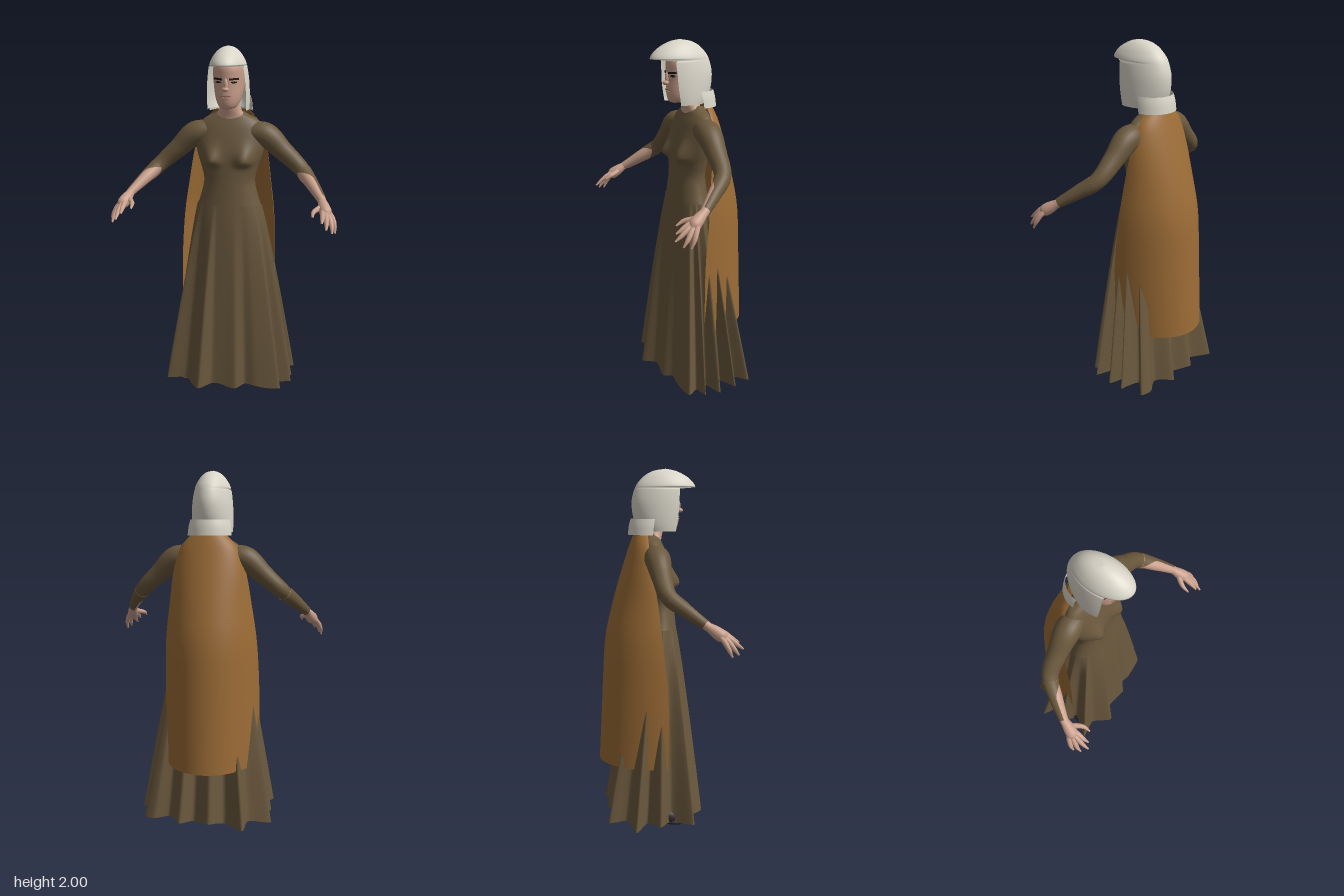
import * as THREE from 'three';
import { mergeVertices } from 'three/addons/utils/BufferGeometryUtils.js';

const V = (x, y, z) => new THREE.Vector3(x, y, z);
const material = (name, color, side = THREE.FrontSide) => {
  const m = new THREE.MeshStandardMaterial({ color, side });
  m.name = name;
  return m;
};

// Smooth surface through rows of points
function grid(rows) {
  const pos = [], index = [], n = rows[0].length;
  rows.forEach(r => r.forEach(p => pos.push(p.x, p.y, p.z)));
  for (let i = 0; i < rows.length - 1; i++) {
    for (let j = 0; j < n - 1; j++) {
      const a = i * n + j, d = a + n;
      index.push(a, a + 1, d + 1, a, d + 1, d);
    }
  }
  let g = new THREE.BufferGeometry();
  g.setAttribute('position', new THREE.Float32BufferAttribute(pos, 3));
  g.setIndex(index);
  g = mergeVertices(g, 1e-5);
  g.computeVertexNormals();
  return g;
}

// Interpolates one number along a list
const along = (list, t) =>
  new THREE.SplineCurve(list.map((v, i) => new THREE.Vector2(i, v))).getPoint(t).y;

// Loft of oval rings [y, halfWidth, zFront, zBack], bottom to top.
// gap(y) is the half angle left open at the front
function loft(rings, { steps = 24, n = 40, gap = () => 0, shape = p => p } = {}) {
  const rows = [];
  for (let i = 0; i <= steps; i++) {
    const [y, rx, zf, zb] = [0, 1, 2, 3].map(k => along(rings.map(r => r[k]), i / steps));
    const row = [], g = gap(y);
    for (let j = 0; j <= n; j++) {
      const a = g + 2 * (Math.PI - g) * j / n;
      row.push(shape(V(rx * Math.sin(a), y, (zf + zb) / 2 + (zf - zb) / 2 * Math.cos(a))));
    }
    rows.push(row);
  }
  return grid(rows);
}

// Round sweep along a curve; arc(t) is the half angle kept around the back side
function sweep(points, radii, { steps = 12, n = 12, t0 = 0, t1 = 1, grow = 0, arc = () => Math.PI } = {}) {
  const curve = new THREE.CatmullRomCurve3(points.map(p => V(...p)));
  const rows = [];
  for (let i = 0; i <= steps; i++) {
    const t = t0 + (t1 - t0) * i / steps;
    const c = curve.getPoint(t), T = curve.getTangent(t);
    const r = Math.max(along(radii, t), 0.001) + grow, w = arc((t - t0) / (t1 - t0));
    const u = T.clone().cross(V(0, 1, 0)).normalize(), v = u.clone().cross(T);
    const row = [];
    for (let j = 0; j <= n; j++) {
      const a = Math.PI - w + 2 * w * j / n;
      row.push(c.clone().addScaledVector(u, r * Math.cos(a)).addScaledVector(v, -r * Math.sin(a)));
    }
    rows.push(row);
  }
  return grid(rows);
}

const ball = (x, y, z, sx, sy, sz, ry = 0) =>
  new THREE.SphereGeometry(1, 20, 14).scale(sx, sy, sz).rotateY(ry).translate(x, y, z);

function mirrored(geometry) {
  const g = geometry.clone().scale(-1, 1, 1), ix = g.index;
  for (let i = 0; i < ix.count; i += 3) {
    const a = ix.getX(i);
    ix.setX(i, ix.getX(i + 1));
    ix.setX(i + 1, a);
  }
  return g;
}

export function createModel() {
  const model = new THREE.Group();
  const dress = material('dress brown', 0x6a583d, THREE.DoubleSide);
  const cloak = material('cape ochre', 0x9c6c36, THREE.DoubleSide);
  const hair = material('pale hair', 0xd9d5c8, THREE.DoubleSide);
  const skin = material('skin', 0xc99f8b);
  const dark = material('eye dark', 0x1c1717);
  const lip = material('lips', 0x8f6455);
  const leather = material('shoe leather', 0x30242a);

  const add = (name, g, m) => {
    const mesh = new THREE.Mesh(g, m);
    mesh.name = name;
    model.add(mesh);
  };
  const pair = (name, g, m) => {
    add('left' + name, g, m);
    add('right' + name, mirrored(g), m);
  };

  // Skirt: oval waist blending into a pleated hem outline
  const hem = new THREE.CatmullRomCurve3([
    [0, .18], [.07, .19], [.12, .15], [.19, .16], [.33, .145], [.31, .09], [.39, .07],
    [.29, .02], [.385, -.03], [.28, -.08], [.39, -.13], [.27, -.17], [.345, -.245], [.28, -.27],
    [.2, -.23], [.12, -.315], [.05, -.25], [-.05, -.315], [-.13, -.25], [-.245, -.325],
    [-.26, -.22], [-.388, -.18], [-.28, -.11], [-.37, -.04], [-.28, .03], [-.36, .15],
    [-.24, .14], [-.15, .235], [-.08, .175],
  ].map(([x, z]) => V(x, 0, z)), true, 'catmullrom', 0.3);
  const skirtRows = [];
  for (let i = 0; i <= 16; i++) {
    const t = 1 - i / 16, row = [];
    for (let j = 0; j <= 174; j++) {
      const h = hem.getPoint((j % 174) / 174);
      const a = Math.atan2(h.x / 0.35, (h.z + 0.04) / 0.28);
      const y = 1.12 - t * (1.09 + 0.008 * Math.sin(a * 9));
      const spread = Math.pow(t, 0.88);
      row.push(V(0.187 * Math.sin(a), y, 0.103 * Math.cos(a) - 0.005).lerp(V(h.x, y, h.z), spread));
    }
    skirtRows.push(row);
  }
  add('skirt', grid(skirtRows), dress);

  // Bodice with bust
  const bust = p => {
    if (p.z > 0) {
      const dx = (Math.abs(p.x) - 0.095) / 0.045, dy = p.y - 1.372;
      p.z += 0.042 * Math.exp(-dx * dx - (dy / (dy > 0 ? 0.075 : 0.024)) ** 2);
    }
    return p;
  };
  add('bodice', loft([
    [1.1, .188, .1, -.11], [1.18, .162, .092, -.1], [1.26, .147, .085, -.095], [1.34, .165, .08, -.1],
    [1.42, .19, .072, -.11], [1.5, .2, .052, -.115], [1.56, .187, .032, -.115],
    [1.6, .15, .014, -.11], [1.625, .1, .004, -.1], [1.645, .068, -.012, -.085],
  ], { steps: 54, n: 72, shape: bust }), dress);

  // Cape: open half shell hanging from the shoulders
  const capeRing = (y, w, edge, back) => [y, w, 2 * edge - back, back];
  add('cape', loft([
    capeRing(.34, .272, .01, -.353), capeRing(.57, .276, .015, -.34), capeRing(.8, .274, .01, -.327),
    capeRing(1.05, .263, -.015, -.31), capeRing(1.25, .237, -.035, -.266), capeRing(1.43, .21, -.06, -.214),
    capeRing(1.57, .165, -.075, -.168), capeRing(1.645, .1, -.075, -.14),
  ], { gap: () => Math.PI / 2, shape: p => p.setX(p.x - 0.008 * (1.645 - p.y)) }), cloak);

  // Sleeved arms; the sleeve runs on along the back of the forearm
  const armPath = [[.1, 1.525, -.04], [.2, 1.512, -.035], [.3, 1.428, -.028],
    [.405, 1.335, -.008], [.475, 1.265, .08], [.54, 1.195, .175]];
  const armRadii = [.058, .068, .054, .043, .034, .023];
  pair('Sleeve', sweep(armPath, armRadii, { n: 24, t1: .64, steps: 24, grow: .002 }), dress);
  pair('Cuff', sweep(armPath, armRadii, {
    n: 24, t0: .64, t1: .97, grow: .004, arc: t => Math.PI * (1 - .52 * Math.min(1, t * 2.6)),
  }), dress);
  pair('Forearm', sweep(armPath, armRadii, { n: 20, t0: .6 }), skin);

  // Hands: palm with five spread fingers
  pair('Palm', sweep([[.535, 1.2, .168], [.548, 1.175, .205], [.562, 1.15, .24], [.57, 1.133, .268]],
    [.023, .031, .032, .01], { n: 16 }), skin);
  [
    ['Index', [.546, 1.15, .268], [.547, 1.132, .3], [.545, 1.115, .33]],
    ['Middle', [.565, 1.138, .275], [.57, 1.11, .312], [.57, 1.085, .347]],
    ['Ring', [.582, 1.13, .262], [.597, 1.092, .292], [.6, 1.06, .317]],
    ['Little', [.592, 1.132, .24], [.611, 1.09, .262], [.614, 1.052, .28]],
    ['Thumb', [.518, 1.168, .23], [.497, 1.158, .268], [.495, 1.138, .305]],
  ].forEach(([name, ...pts]) =>
    pair(name + 'Finger', sweep([[.545, 1.18, .2], ...pts], [.015, .015, .012, .005], { n: 8 }), skin));

  // Neck and head
  add('neck', loft([[1.58, .1, .01, -.1], [1.62, .082, .015, -.085], [1.65, .064, .022, -.075],
    [1.69, .054, .03, -.07], [1.74, .052, .04, -.07]]), skin);
  add('head', loft([
    [1.662, .004, .075, .045], [1.671, .04, .098, .0], [1.695, .06, .11, -.04], [1.735, .074, .115, -.08],
    [1.79, .084, .113, -.11], [1.84, .088, .115, -.12], [1.89, .086, .112, -.11], [1.94, .058, .08, -.08],
    [1.965, .004, .03, .02],
  ], { steps: 32 }), skin);
  add('noseBridge', ball(0, 1.798, .112, .012, .034, .014), skin);
  add('noseTip', ball(0, 1.774, .121, .019, .013, .019), skin);
  add('mouth', ball(0, 1.737, .113, .03, .0045, .006), lip);
  add('lowerLip', ball(0, 1.727, .111, .022, .006, .008), skin);
  pair('Eye', ball(.041, 1.811, .099, .019, .006, .006, .4), dark);
  pair('Brow', new THREE.BoxGeometry(.052, .01, .009).rotateZ(.06).rotateY(.42).translate(.043, 1.828, .102), dark);

  // Hair: dome with an overhanging fringe, open at the face, and a flared nape
  const fringe = [1.9, .099, .21, -.13];
  add('hairDome', loft([
    [1.66, .114, .165, -.105], [1.7, .116, .185, -.13], [1.76, .115, .205, -.147], [1.83, .11, .213, -.15],
    fringe, [1.94, .082, .183, -.102], [1.97, .06, .14, -.067], [1.99, .034, .093, -.022], [2, .001, .041, .039],
  ], { steps: 64, gap: y => (y < 1.897 ? 1.18 : 0) }), hair);
  add('fringeUnderside', loft([[1.9, .001, .041, .039], fringe], { steps: 1 }), hair);
  add('hairNape', loft([[1.64, .125, .075, -.173], [1.69, .12, .08, -.167], [1.728, .112, .085, -.157]],
    { steps: 6, gap: () => Math.PI / 2 }), hair);

  // Shoes, heels raised under the skirt
  pair('Shoe', sweep([[.215, .13, -.07], [.23, .08, -.035], [.25, .045, .035], [.265, .028, .11]],
    [.03, .042, .045, .012], { n: 16 }), leather);
  pair('Sole', ball(.25, .02, .05, .046, .02, .08, .25), leather);

  return model;
}
